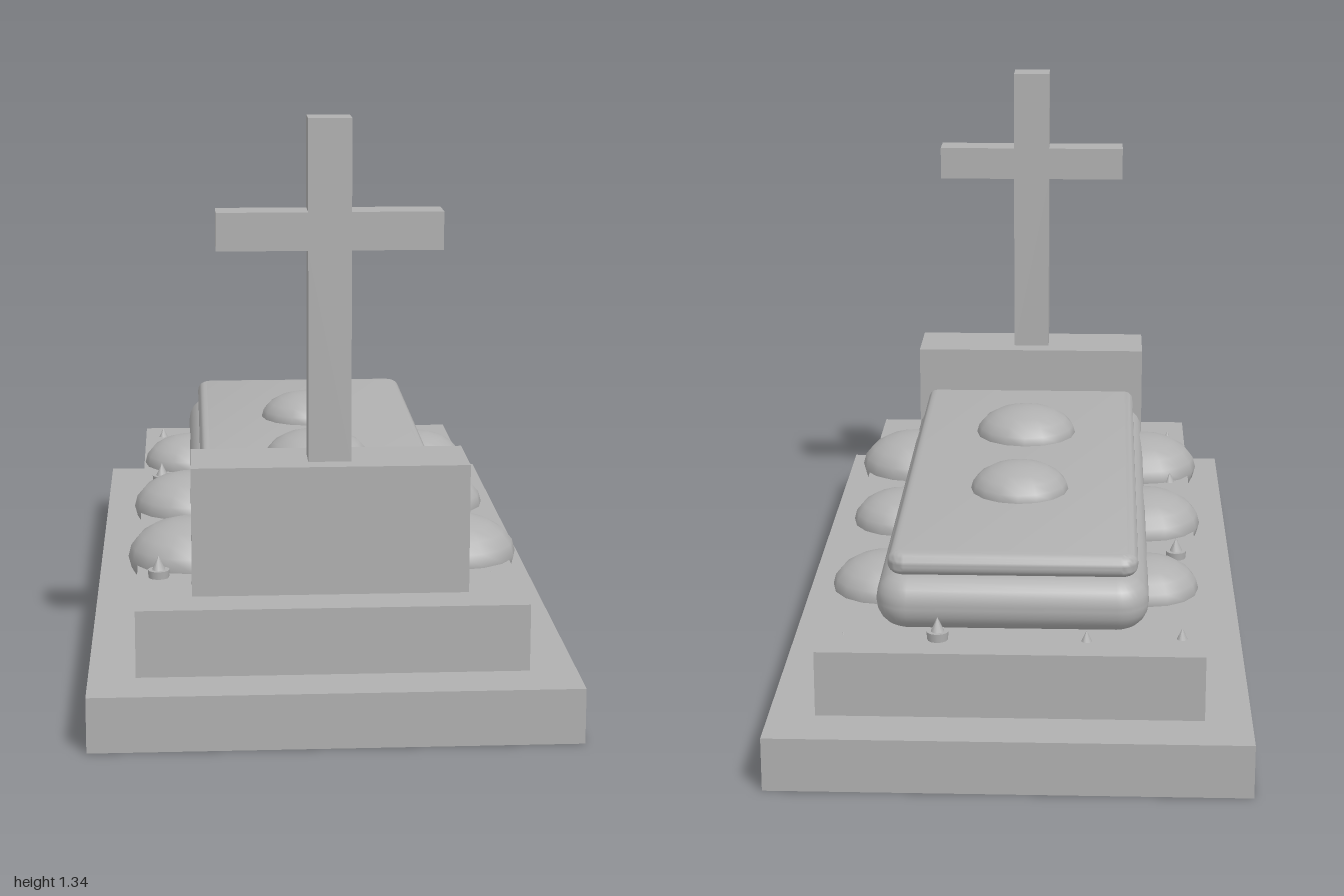
import * as THREE from 'three';
import { toCreasedNormals } from 'three/addons/utils/BufferGeometryUtils.js';

export function createModel() {
  const group = new THREE.Group();
  const stone = new THREE.MeshStandardMaterial({ name: 'grey stone', color: 0xb0b0b0 });

  const add = (name, geometry, x, y, z, parent = group) => {
    const mesh = new THREE.Mesh(geometry, stone);
    mesh.name = name;
    mesh.position.set(x, y, z);
    parent.add(mesh);
    return mesh;
  };

  // Box given by half width, bottom, top, back and front
  const block = (name, hw, y0, y1, z0, z1) =>
    add(name, new THREE.BoxGeometry(hw * 2, y1 - y0, z1 - z0), 0, (y0 + y1) / 2, (z0 + z1) / 2);

  // Stepped plinth and headstone
  block('lowerStep', 0.54, 0, 0.125, -1, 1);
  block('upperStep', 0.435, 0.125, 0.277, -0.875, 0.875);
  block('headstone', 0.31, 0.277, 0.57, 0.593, 0.775);

  // Cross as one extruded outline
  const a = 0.048, b = 0.25, low = 1.045, high = 1.13, top = 1.335, foot = 0.57;
  const outline = [[-a, foot], [a, foot], [a, low], [b, low], [b, high], [a, high],
    [a, top], [-a, top], [-a, high], [-b, high], [-b, low], [-a, low]];
  const crossShape = new THREE.Shape(outline.map(([x, y]) => new THREE.Vector2(x, y)));
  add('cross', new THREE.ExtrudeGeometry(crossShape, { depth: 0.082, bevelEnabled: false }), 0, 0, 0.645);

  // Slab with rounded edges; its front end is buried in the headstone
  const slab = (name, hw, y0, y1, zBack, bevel, corner) => {
    const w = hw - bevel, r = corner - bevel;
    const back = -zBack - bevel, front = -0.7 + bevel;
    const s = new THREE.Shape();
    s.moveTo(-w, front);
    s.lineTo(w, front);
    s.lineTo(w, back - r);
    s.absarc(w - r, back - r, r, 0, Math.PI / 2);
    s.lineTo(-w + r, back);
    s.absarc(-w + r, back - r, r, Math.PI / 2, Math.PI);
    const g = new THREE.ExtrudeGeometry(s, {
      depth: y1 - y0 - 2 * bevel, bevelThickness: bevel, bevelSize: bevel,
      bevelSegments: 5, curveSegments: 4,
    });
    g.rotateX(-Math.PI / 2);
    add(name, toCreasedNormals(g, 0.75), 0, y0 + bevel, 0);
  };
  slab('lowerSlab', 0.31, 0.277, 0.405, -0.77, 0.06, 0.075);
  slab('upperSlab', 0.285, 0.4, 0.453, -0.73, 0.024, 0.04);

  // Flattened mounds: x, y, z, radius, height
  const ball = new THREE.SphereGeometry(1, 16, 10);
  [
    [0, 0.45, -0.25, 0.12, 0.068],
    [0, 0.45, 0.21, 0.13, 0.073],
    [0.31, 0.28, 0.455, 0.148, 0.09],
    [0.31, 0.28, 0, 0.125, 0.077],
    [0.31, 0.28, -0.46, 0.127, 0.077],
    [-0.31, 0.28, 0.455, 0.148, 0.09],
    [-0.31, 0.28, 0, 0.142, 0.085],
    [-0.31, 0.28, -0.46, 0.122, 0.075],
  ].forEach(([x, y, z, r, h]) => add('mound', ball, x, y, z).scale.set(r, h, r));

  // Small lamps, some sunk into the step: x, z, base height
  const cup = new THREE.CylinderGeometry(0.025, 0.022, 0.04, 12);
  const flame = new THREE.ConeGeometry(0.016, 0.034, 10);
  [
    [-0.385, -0.77, 0.25],
    [-0.385, -0.25, 0.275],
    [-0.385, 0.33, 0.25],
    [-0.385, 0.62, 0.275],
    [-0.17, -0.79, 0.25],
    [0.165, -0.79, 0.277],
    [0.38, -0.77, 0.23],
    [0.38, -0.25, 0.226],
    [0.38, 0.62, 0.227],
  ].forEach(([x, z, y]) => {
    const lamp = new THREE.Group();
    lamp.name = 'lamp';
    lamp.position.set(x, y, z);
    add('lampCup', cup, 0, 0, 0, lamp);
    add('lampFlame', flame, 0, 0.036, 0, lamp);
    group.add(lamp);
  });

  return group;
}
